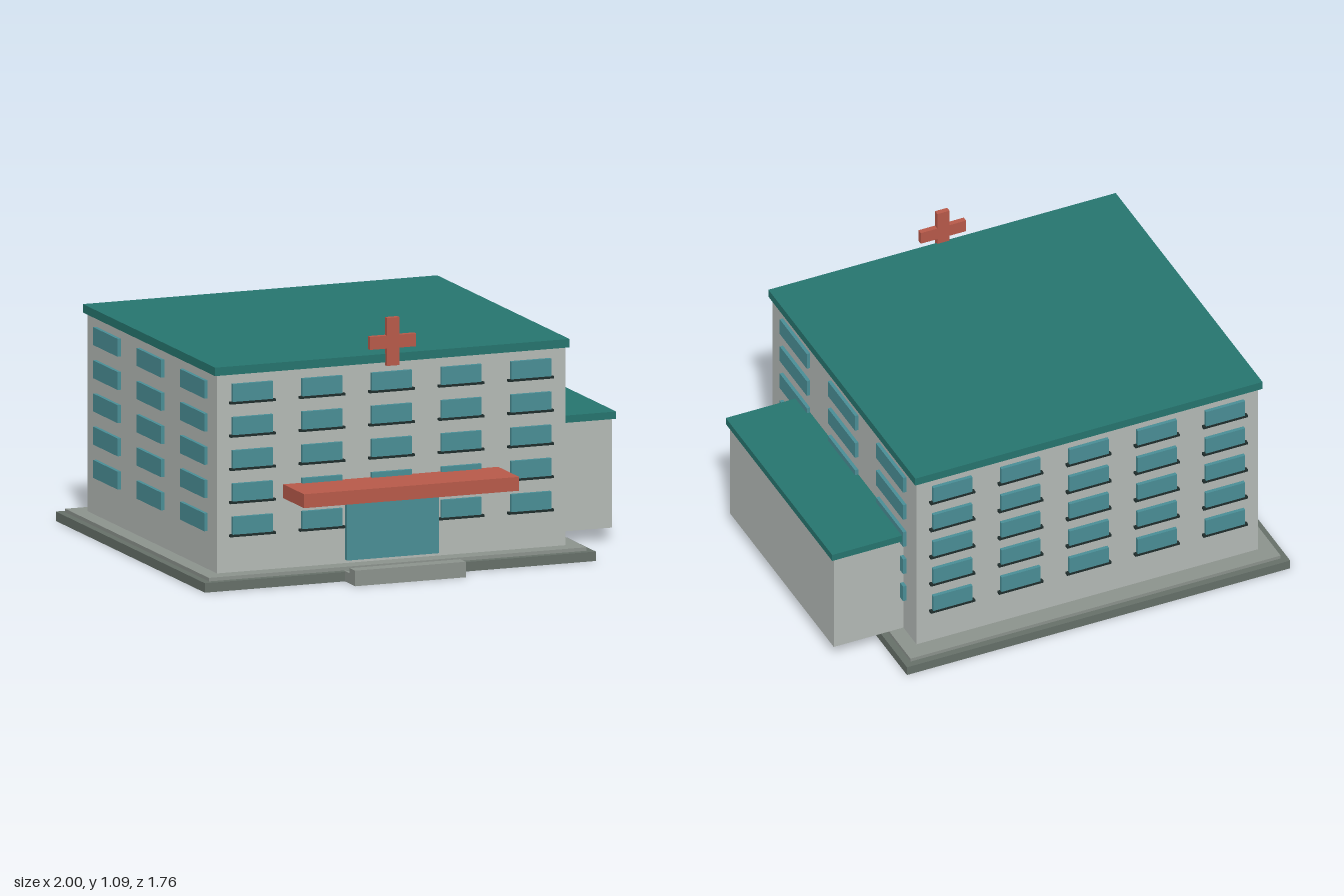
import * as THREE from 'three';

const mat = (color) => new THREE.MeshStandardMaterial({ color });

export function createModel() {
  const model = new THREE.Group();
  model.name = 'hospitalBuilding';

  const wall = mat(0xb4bab6), stone = mat(0x667069), paving = mat(0x8c938d);
  const roofing = mat(0x26756f), glass = mat(0x4a8e96), red = mat(0xb85a4a), dark = mat(0x1f2d2c);

  // Box given by its lower and upper limits on each axis
  function box(name, material, [x0, x1], [y0, y1], [z0, z1], parent = model) {
    const mesh = new THREE.Mesh(new THREE.BoxGeometry(x1 - x0, y1 - y0, z1 - z0), material);
    mesh.position.set((x0 + x1) / 2, (y0 + y1) / 2, (z0 + z1) / 2);
    mesh.name = name;
    parent.add(mesh);
    return mesh;
  }
  const around = (centre, size) => [centre - size / 2, centre + size / 2];
  function group(name) {
    const g = new THREE.Group();
    g.name = name;
    model.add(g);
    return g;
  }

  // Ground slabs
  box('baseSlab', stone, [-1, 0.76], [0, 0.04], [-0.88, 0.755]);
  box('plinth', paving, [-0.97, 0.73], [0.04, 0.055], [-0.85, 0.725]);

  // Main block and its flat roof
  const X = [-0.903, 0.665], Z = [-0.77, 0.651];
  box('mainBlock', wall, X, [0.055, 0.896], Z);
  box('mainRoof', roofing, [-0.916, 0.679], [0.896, 0.932], [-0.787, 0.662]);

  // Side wing
  box('wingBlock', wall, [0.66, 0.985], [0.055, 0.518], [-0.641, 0.382]);
  box('wingRoof', roofing, [0.66, 1], [0.518, 0.549], [-0.658, 0.393]);

  // Windows: five storeys, five columns front and back, three on each side
  const midX = -0.121, midZ = -0.061, out = 0.016;
  const front = group('frontWindows'), back = group('backWindows');
  const left = group('leftWindows'), right = group('rightWindows');
  for (let floor = 0; floor < 5; floor++) {
    const y = 0.254 + floor * 0.141;
    const height = around(y, 0.076), sillHeight = [y - 0.047, y - 0.037];
    for (let i = -2; i <= 2; i++) {
      const x = midX + i * 0.313;
      box('window', glass, around(x, 0.18), height, [Z[1] - 0.01, Z[1] + out], front);
      box('sill', dark, around(x, 0.204), sillHeight, [Z[1] - 0.01, Z[1] + out + 0.002], front);
      box('window', glass, around(x, 0.18), height, [Z[0] - out, Z[0] + 0.01], back);
      box('sill', dark, around(x, 0.204), sillHeight, [Z[0] - out - 0.002, Z[0] + 0.01], back);
    }
    for (let i = -1; i <= 1; i++) {
      const span = around(midZ + i * 0.475, 0.268);
      box('window', glass, [X[1] - 0.01, X[1] + out - 0.001], height, span, left);
      box('window', glass, [X[0] - out + 0.001, X[0] + 0.01], height, span, right);
    }
  }

  // Entrance: glazed door, canopy and steps
  const entrance = group('entrance');
  box('door', glass, around(midX, 0.412), [0.07, 0.34], [0.64, 0.676], entrance);
  box('canopy', red, around(midX, 0.968), [0.352, 0.411], [0.645, 0.88], entrance);
  box('innerStep', paving, around(midX, 0.498), [0, 0.044], [0.75, 0.808], entrance);
  box('outerStep', paving, around(midX, 0.498), [0, 0.066], [0.808, 0.867], entrance);

  // Rooftop cross, built from an upright and two arms
  const cross = group('roofCross');
  box('upright', red, around(midX, 0.056), [0.883, 1.087], [0.654, 0.677], cross);
  box('rightArm', red, [midX - 0.104, midX - 0.028], [0.957, 1.012], [0.654, 0.677], cross);
  box('leftArm', red, [midX + 0.028, midX + 0.104], [0.957, 1.012], [0.654, 0.677], cross);

  return model;
}
